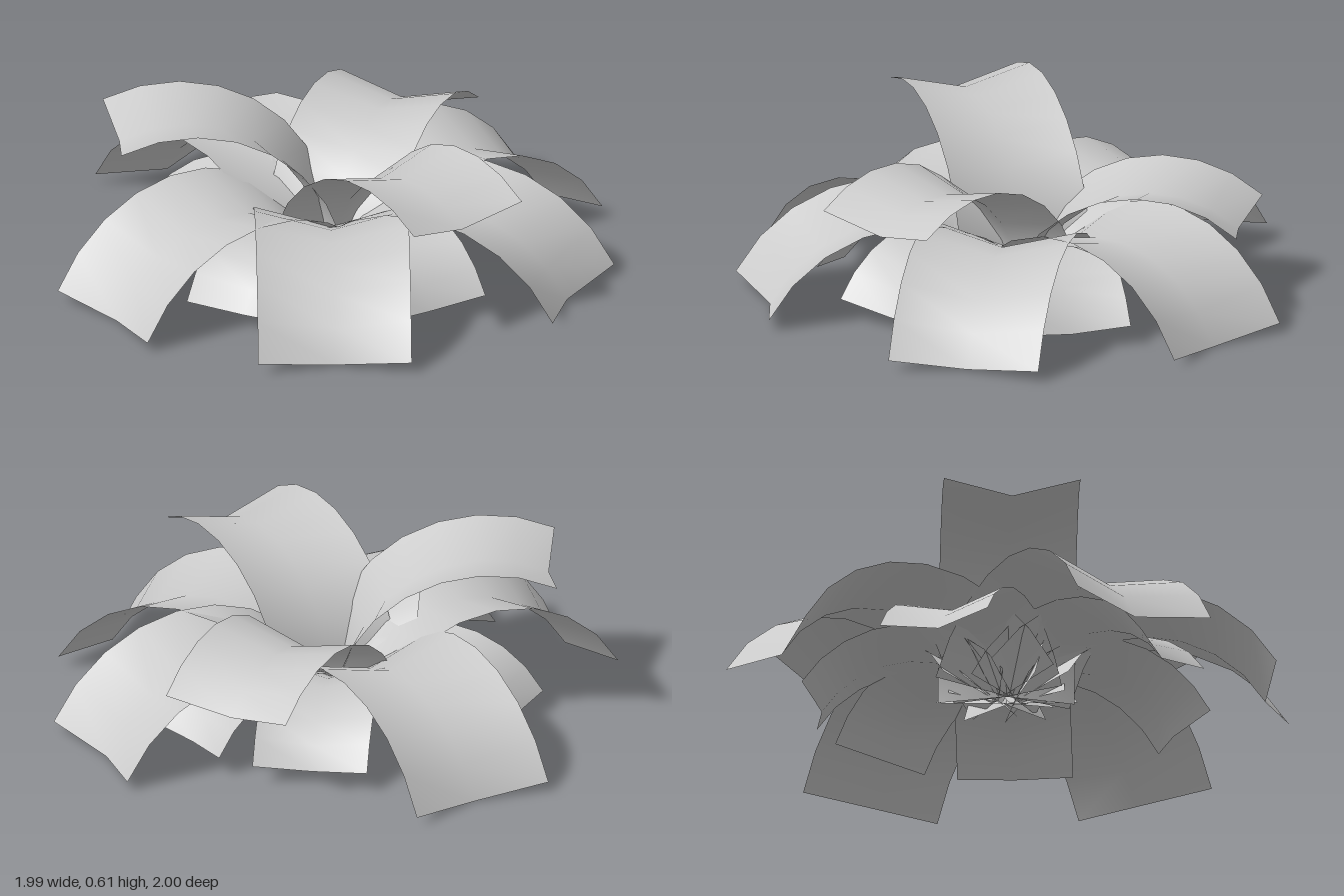
import * as THREE from 'three';

const material = new THREE.MeshStandardMaterial({ color: 0xcccccc, side: THREE.DoubleSide });
const rad = THREE.MathUtils.degToRad;

// A strap leaf along +x: its midrib is an arc from the crown to (reach, tipY),
// and its cross-section is a shallow V whose sides rise along the arc's normal.
function leafGeometry({ reach, tipY, halfWidth, fold, bend }) {
  const startX = 0.03, startY = 0.05, segments = 8;
  const chordAngle = Math.atan2(tipY - startY, reach - startX);
  const halfTurn = rad(bend);
  const radius = Math.hypot(reach - startX, tipY - startY) / (2 * Math.sin(halfTurn));
  const first = chordAngle + halfTurn;
  const positions = [], index = [];

  for (let i = 0; i <= segments; i++) {
    const slope = first - (2 * halfTurn * i) / segments;
    const x = startX + radius * (Math.sin(first) - Math.sin(slope));
    const y = startY + radius * (Math.cos(slope) - Math.cos(first));
    for (const side of [-1, 0, 1]) {
      const lift = fold * Math.abs(side);
      positions.push(x - lift * Math.sin(slope), y + lift * Math.cos(slope), side * halfWidth);
    }
    if (i < segments) {
      for (const a of [3 * i, 3 * i + 1]) index.push(a, a + 1, a + 3, a + 1, a + 4, a + 3);
    }
  }
  const geometry = new THREE.BufferGeometry();
  geometry.setAttribute('position', new THREE.Float32BufferAttribute(positions, 3));
  geometry.setIndex(index);
  geometry.computeVertexNormals();
  return geometry;
}

export function createModel() {
  const model = new THREE.Group();
  model.name = 'leafRosette';

  const addRing = (name, shape, leaves) => {
    const ring = new THREE.Group();
    ring.name = name + 's';
    leaves.forEach(([angle, reach, tipY], i) => {
      const leaf = new THREE.Mesh(leafGeometry({ ...shape, reach, tipY }), material);
      leaf.name = name + (i + 1);
      leaf.rotation.y = -rad(angle);
      ring.add(leaf);
    });
    model.add(ring);
  };

  // Each leaf: compass angle from +x toward +z, reach, tip height
  addRing('upperLeaf', { halfWidth: 0.242, fold: 0.06, bend: 57 }, [
    [0, 0.77, 0.39], [120, 0.75, 0.5], [240, 0.775, 0.27],
  ]);
  addRing('middleLeaf', { halfWidth: 0.272, fold: 0.072, bend: 59 }, [
    [36.6, 0.92, 0.005], [92, 0.925, 0], [180, 0.935, 0], [272.5, 0.93, 0], [331.5, 0.92, 0.005],
  ]);
  addRing('lowerLeaf', { halfWidth: 0.205, fold: 0.052, bend: 58 }, [
    [5, 0.66, 0.045], [65, 0.66, 0.045], [143, 0.66, 0.045],
    [219, 0.66, 0.045], [262, 0.66, 0.045], [304, 0.66, 0.045],
  ]);
  return model;
}
